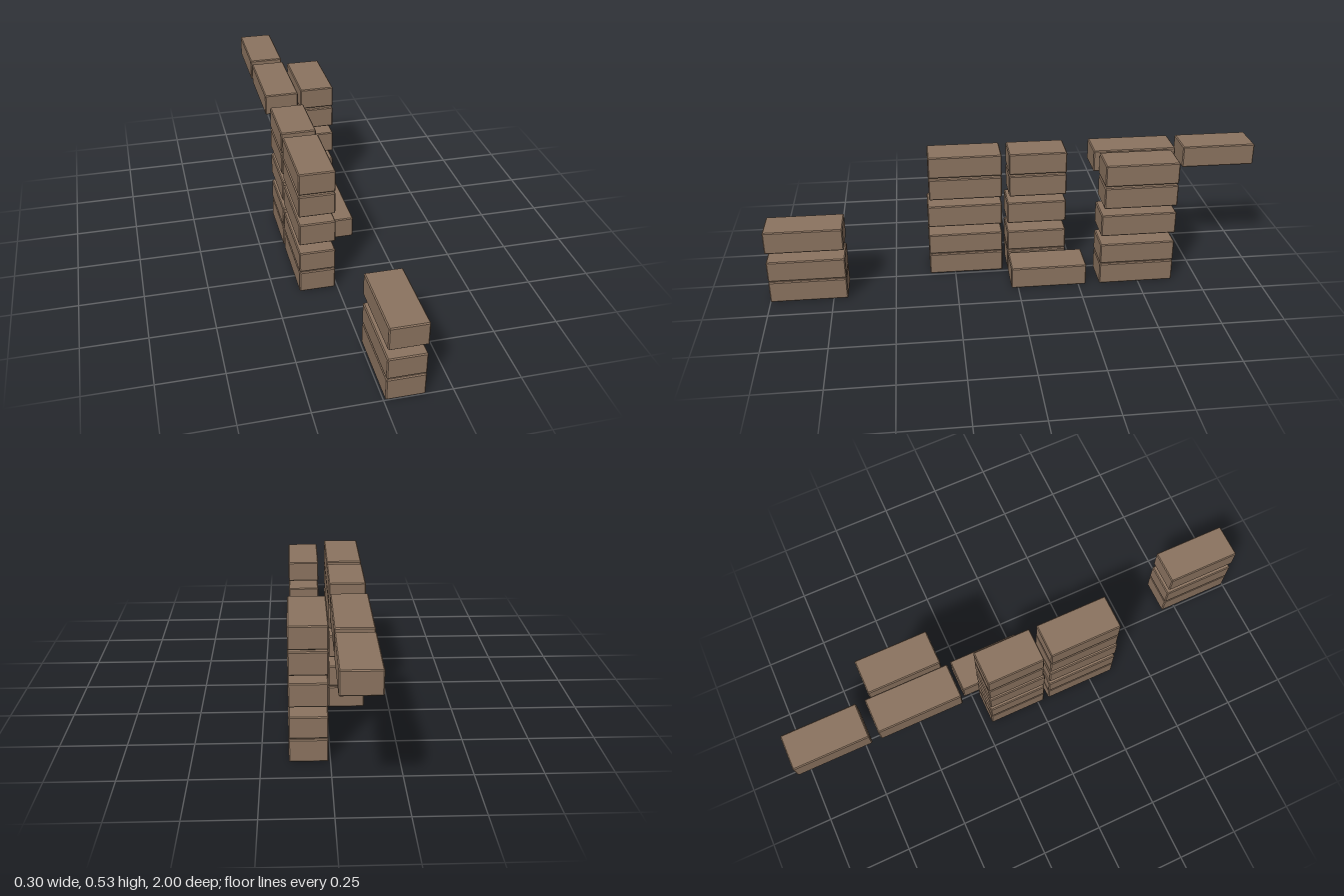
import * as THREE from 'three';
import { ConvexGeometry } from 'three/addons/geometries/ConvexGeometry.js';

const BEVEL = 0.004;

// Bottom and top of each course of bricks
const COURSES = [[0, 0.09], [0.094, 0.18], [0.219, 0.311], [0.341, 0.431], [0.438, 0.527]];

// Sides of the two rows
const ROWS = { right: [-0.151, -0.009], left: [0.007, 0.15] };

// Box with chamfered edges and corners, hulled from three points per corner
function chamferedBox(w, h, d) {
  const points = [];
  for (const sx of [-1, 1]) for (const sy of [-1, 1]) for (const sz of [-1, 1]) {
    for (let axis = 0; axis < 3; axis++) {
      const half = [w / 2, h / 2, d / 2].map((s, i) => (i === axis ? s : s - BEVEL));
      points.push(new THREE.Vector3(sx * half[0], sy * half[1], sz * half[2]));
    }
  }
  return new ConvexGeometry(points);
}

export function createModel() {
  const model = new THREE.Group();
  model.name = 'brickStacks';
  const brickBrown = new THREE.MeshStandardMaterial({ color: 0x8c7460 });
  brickBrown.name = 'brickBrown';

  function addStack(name, row, levels, zRange) {
    const stack = new THREE.Group();
    stack.name = name;
    const [x0, x1] = ROWS[row];
    for (const level of levels) {
      const [y0, y1] = COURSES[level];
      const [z0, z1] = zRange(level);
      const brick = new THREE.Mesh(chamferedBox(x1 - x0, y1 - y0, z1 - z0), brickBrown);
      brick.name = 'brick' + (level + 1);
      brick.position.set((x0 + x1) / 2, (y0 + y1) / 2, (z0 + z1) / 2);
      stack.add(brick);
    }
    model.add(stack);
  }

  const all = [0, 1, 2, 3, 4];
  // The two upper courses are slightly shorter at the front
  addStack('frontStack', 'left', [0, 1, 2], () => [0.692, 1]);
  addStack('middleStack', 'right', all, (l) => [0.05, l < 3 ? 0.356 : 0.348]);
  addStack('shortStack', 'right', all, (l) => [-0.217, l < 3 ? 0.028 : 0.02]);
  addStack('backStack', 'left', all, (l) => [-0.643, l < 3 ? -0.337 : -0.346]);

  // Single bricks: one on the ground, two at the top
  addStack('groundBrick', 'left', [0], () => [-0.281, 0.028]);
  addStack('upperBrick', 'right', [4], () => [-0.664, -0.326]);
  addStack('rearBrick', 'right', [4], () => [-1, -0.699]);

  return model;
}
